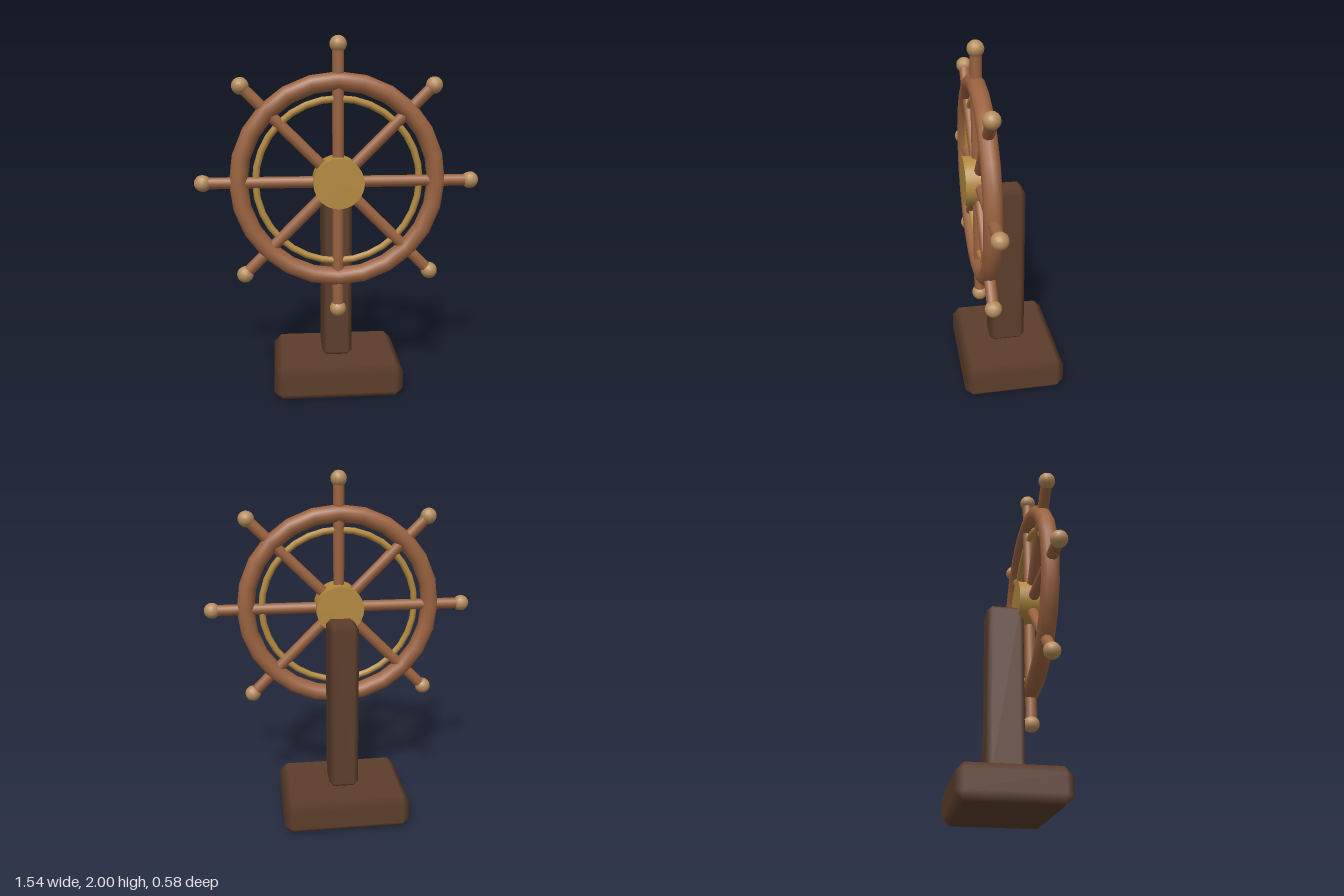
import * as THREE from 'three';
import { ConvexGeometry } from 'three/addons/geometries/ConvexGeometry.js';

const material = (name, color) => {
  const m = new THREE.MeshStandardMaterial({ color });
  m.name = name;
  return m;
};

// Box with a single chamfer on every edge; normals blend softly across the chamfers.
function chamferedBox(w, h, d, c) {
  const half = [w / 2, h / 2, d / 2];
  const points = [];
  for (let axis = 0; axis < 3; axis++) {
    for (const sx of [-1, 1]) for (const sy of [-1, 1]) for (const sz of [-1, 1]) {
      const p = [sx, sy, sz].map((s, i) => s * (half[i] - (i === axis ? 0 : c)));
      points.push(new THREE.Vector3(...p));
    }
  }
  const geometry = new ConvexGeometry(points);
  const pos = geometry.attributes.position;
  const normal = geometry.attributes.normal;
  for (let i = 0; i < pos.count; i++) {
    const p = [pos.getX(i), pos.getY(i), pos.getZ(i)];
    normal.setXYZ(i, ...p.map((v, k) => (Math.abs(v) > half[k] - c * 0.5 ? Math.sign(v) : 0)));
  }
  return geometry;
}

export function createModel() {
  const darkWood = material('dark wood', 0x5c3d2b);
  const wood = material('warm wood', 0x9a623f);
  const brass = material('brass', 0xb3893f);
  const paleWood = material('pale wood', 0xb58c5c);

  const model = new THREE.Group();
  model.name = 'shipWheelOnStand';
  const add = (parent, name, geometry, mat, x = 0, y = 0, z = 0) => {
    const mesh = new THREE.Mesh(geometry, mat);
    mesh.name = name;
    mesh.position.set(x, y, z);
    parent.add(mesh);
    return mesh;
  };

  // Stand
  add(model, 'base', chamferedBox(0.73, 0.19, 0.584, 0.045), darkWood, 0, 0.095, 0);
  add(model, 'post', chamferedBox(0.17, 0.99, 0.21, 0.028), darkWood, 0, 0.682, 0);

  // Wheel
  const wheel = new THREE.Group();
  wheel.name = 'wheel';
  wheel.position.set(0, 1.228, 0.153);
  model.add(wheel);
  add(wheel, 'rim', new THREE.TorusGeometry(0.537, 0.05, 12, 24), wood);
  add(wheel, 'innerRing', new THREE.TorusGeometry(0.445, 0.019, 8, 32), brass);
  const hub = add(wheel, 'hub', new THREE.CylinderGeometry(0.137, 0.137, 0.164, 24), brass);
  hub.rotation.x = Math.PI / 2;

  // Eight spokes, each running through the rim to a handle with a round knob
  const spokeGeometry = new THREE.CylinderGeometry(0.032, 0.032, 0.67, 10);
  const knobGeometry = new THREE.SphereGeometry(0.046, 14, 10);
  for (let i = 0; i < 8; i++) {
    const arm = new THREE.Group();
    arm.name = 'arm' + (i + 1);
    arm.rotation.z = (i * Math.PI) / 4;
    add(arm, 'spoke', spokeGeometry, wood, 0, 0.375, 0);
    add(arm, 'knob', knobGeometry, paleWood, 0, 0.726, 0);
    wheel.add(arm);
  }
  return model;
}
